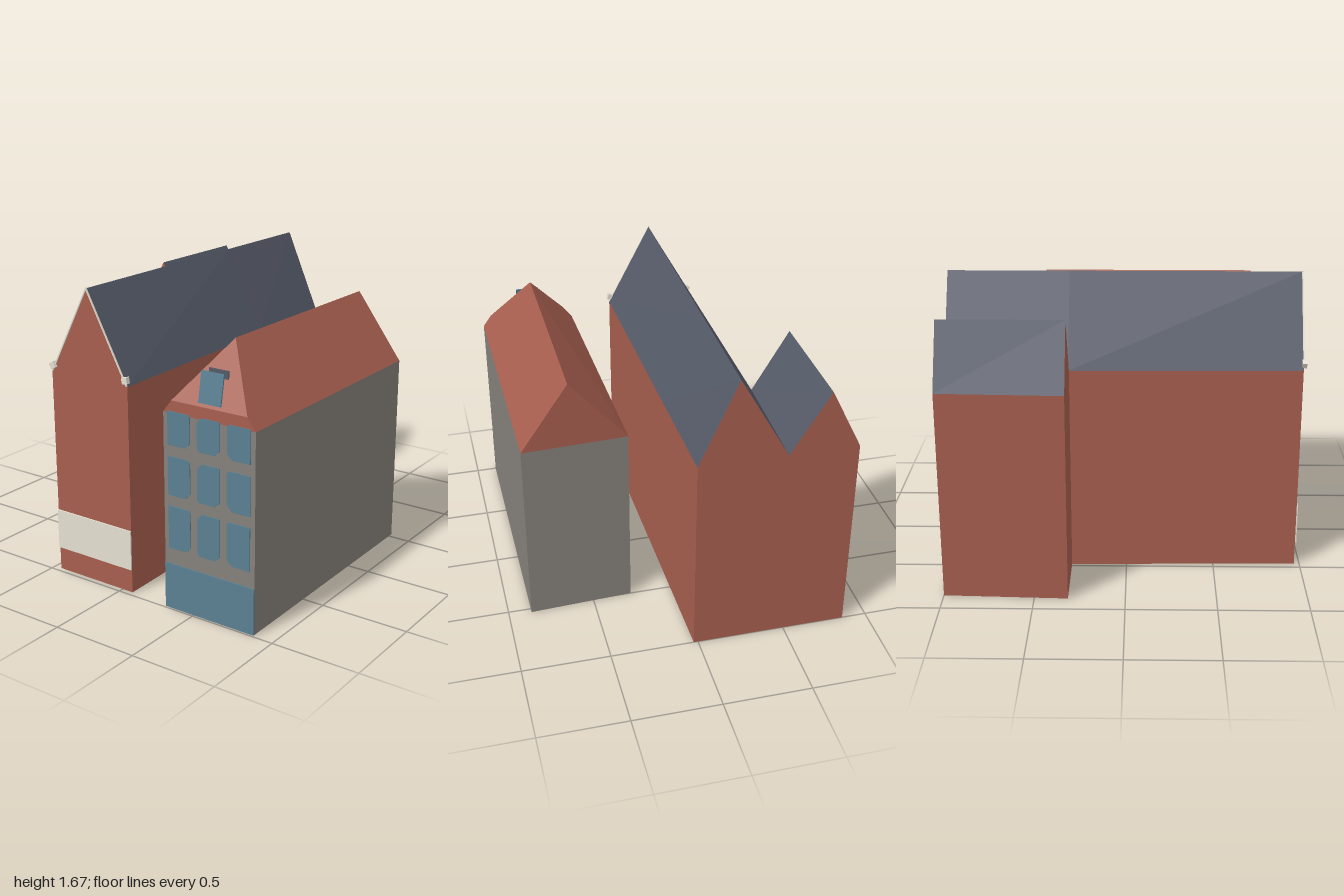
import * as THREE from 'three';

const material = (name, color) => {
  const m = new THREE.MeshStandardMaterial({ color });
  m.name = name;
  return m;
};

export function createModel() {
  const brick = material('brick', 0xa65e4e);
  const slate = material('slate', 0x555a68);
  const stone = material('grey stone', 0x85807a);
  const glass = material('blue glass', 0x5a8092);
  const white = material('off white', 0xe4dfd1);
  const model = new THREE.Group();
  model.name = 'gabledHouses';

  const add = (parent, name, geometry, mat, x = 0, y = 0, z = 0) => {
    const mesh = new THREE.Mesh(geometry, mat);
    mesh.name = name;
    mesh.position.set(x, y, z);
    parent.add(mesh);
    return mesh;
  };

  // Flat convex polygons, corners counter-clockwise from outside
  const faces = (parent, name, mat, polygons) => {
    const pos = [];
    for (const p of polygons) {
      for (let i = 1; i < p.length - 1; i++) pos.push(...p[0], ...p[i], ...p[i + 1]);
    }
    const g = new THREE.BufferGeometry();
    g.setAttribute('position', new THREE.Float32BufferAttribute(pos, 3));
    g.computeVertexNormals();
    return add(parent, name, g, mat);
  };

  // Gabled house through plan sections [z, left x, ridge x, right x], front to back
  const gabledHouse = (name, eave, peak, sections) => {
    const group = new THREE.Group();
    group.name = name;
    model.add(group);
    const rings = sections.map(([z, l, m, r]) =>
      [[l, 0, z], [r, 0, z], [r, eave, z], [m, peak, z], [l, eave, z]]);
    const walls = [rings[0], [...rings[rings.length - 1]].reverse()];
    const roof = [];
    for (let i = 0; i < rings.length - 1; i++) {
      const a = rings[i], b = rings[i + 1];
      for (let k = 0; k < 5; k++) {
        const n = (k + 1) % 5;
        (k === 2 || k === 3 ? roof : walls).push([a[k], b[k], b[n], a[n]]);
      }
    }
    faces(group, 'walls', brick, walls);
    faces(group, 'roof', slate, roof);
    return group;
  };

  // Tall long house and its lower rear neighbour
  const tall = gabledHouse('tallHouse', 1.18, 1.67, [
    [0.97, -0.455, -0.19, 0.07],
    [-0.32, -0.48, -0.19, 0.04],
    [-1, -0.468, -0.19, 0.025],
  ]);
  gabledHouse('rearHouse', 1.18, 1.53, [
    [-0.315, -0.885, -0.685, -0.478],
    [-1, -0.86, -0.685, -0.468],
  ]);

  // White shopfront band, eave brackets and gable edging
  add(tall, 'frontBand', new THREE.BoxGeometry(0.525, 0.23, 0.008), white, -0.1925, 0.25, 0.974);
  for (const x of [-0.44, 0.062]) {
    const bracket = add(tall, 'eaveBracket', new THREE.BoxGeometry(0.035, 0.035, 0.025), white, x, 1.215, 0.975);
    bracket.rotation.z = x < 0 ? 0.5 : 0.2;
  }
  for (const s of [-1, 1]) {
    const edge = add(tall, 'gableEdging', new THREE.BoxGeometry(0.007, 0.555, 0.008), white,
      -0.191 + s * 0.128, 1.427, 0.972);
    edge.rotation.z = s * Math.atan2(0.26, 0.49);
  }

  // Grey house with a half-hipped roof
  const house = new THREE.Group();
  house.name = 'hippedHouse';
  model.add(house);
  const plan = [[0.315, 0.985], [0.88, 0.982], [0.87, -0.53], [0.275, -0.5]];
  const low = plan.map(([x, z]) => [x, 0, z]);
  const top = plan.map(([x, z]) => [x, 1.1, z]);
  faces(house, 'walls', stone, [
    ...low.map((p, i) => [p, low[(i + 1) % 4], top[(i + 1) % 4], top[i]]),
    [...low].reverse(),
  ]);
  const ridgeFront = [0.6, 1.48, 0.75], ridgeBack = [0.6, 1.48, -0.515];
  const hipL = [0.367, 1.168, 0.985], hipR = [0.83, 1.168, 0.982];
  faces(house, 'roof', brick, [
    [top[0], top[1], hipR, hipL],
    [hipL, hipR, ridgeFront],
    [top[1], top[2], ridgeBack, ridgeFront, hipR],
    [top[3], top[0], hipL, ridgeFront, ridgeBack],
    [top[2], top[3], ridgeBack],
  ]);

  // Three rows of windows with clipped corners: c = cut sizes bl, br, tr, tl
  const pane = (w, h, [bl, br, tr, tl]) => {
    const pts = [[bl, 0], [w - br, 0], [w, br], [w, h - tr], [w - tr, h], [tl, h], [0, h - tl], [0, bl]];
    const shape = new THREE.Shape(pts.map(([x, y]) => new THREE.Vector2(x, y)));
    return new THREE.ExtrudeGeometry(shape, { depth: 0.005, bevelEnabled: false });
  };
  const columns = [
    [0.343, [0, 0.03, 0.012, 0]],
    [0.529, [0.012, 0.03, 0, 0.03]],
    [0.713, [0.03, 0, 0, 0.012]],
  ];
  for (const [y, h] of [[0.35, 0.24], [0.65, 0.215], [0.927, 0.183]]) {
    for (const [x, cuts] of columns) add(house, 'window', pane(0.14, h, cuts), glass, x, y, 0.984);
  }
  add(house, 'groundFloorGlazing', new THREE.BoxGeometry(0.565, 0.26, 0.008), glass, 0.5975, 0.13, 0.985);

  // Leaning dormer window with a dark cap behind it
  const dormer = add(house, 'dormerWindow', new THREE.BoxGeometry(0.137, 0.165, 0.008), glass, 0.598, 1.265, 0.958);
  dormer.rotation.x = -0.18;
  add(house, 'dormerCap', new THREE.BoxGeometry(0.12, 0.045, 0.008), slate, 0.59, 1.322, 0.88);

  return model;
}
